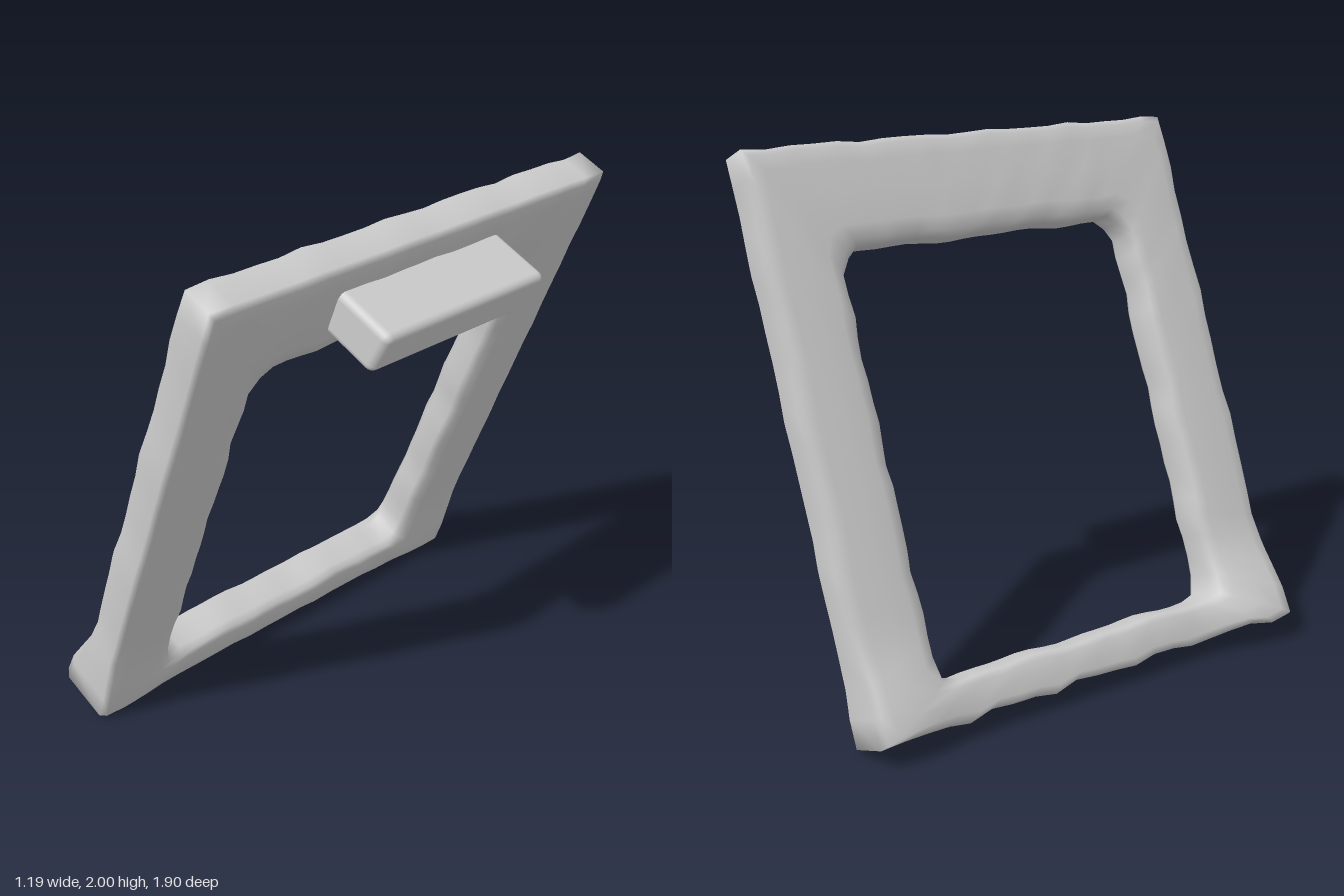
import * as THREE from 'three';
import { RoundedBoxGeometry } from 'three/addons/geometries/RoundedBoxGeometry.js';

const TILT = 0.392;
const mat = new THREE.MeshStandardMaterial({ color: 0xcccccc, side: THREE.DoubleSide });
const mix = THREE.MathUtils.lerp;
const wave = (a, b) => Math.sin(a * 17 + b * 11) * 0.6 + Math.sin(a * 31 - b * 23) * 0.4;

// Outer and inner corners of the frame as [z, y], going round once
const OUTER = [[-0.945, 0], [0.94, 0], [0.95, -2.085], [-0.945, -2.085]];
const INNER = [[-0.65, -0.38], [0.645, -0.38], [0.645, -1.935], [-0.645, -1.935]];
const CHAMFER = [0.035, 0.035, 0.015, 0.015];

// Cross-section: share of the width from outer edge to inner edge, share of the thickness
const PROFILE = [[0, 0.75], [0.06, 0.95], [0.2, 1], [0.5, 1.02], [0.8, 1], [0.94, 0.88], [1, 0.55],
  [1, -0.55], [0.94, -0.88], [0.8, -1], [0.5, -1.02], [0.2, -1], [0.06, -0.95], [0, -0.75]];

// Pairs of outer and inner points round the frame
function stations() {
  const list = [];
  const steps = 20;
  for (let c = 0; c < 4; c++) {
    const n = (c + 1) % 4;
    const [oz, oy] = OUTER[c], [pz, py] = OUTER[n];
    const [iz, iy] = INNER[c], [jz, jy] = INNER[n];
    // chamfered inner corner, moved towards the outer corner's opposite
    list.push([[oz, oy], [iz - Math.sign(iz) * CHAMFER[c], iy + (c < 2 ? -1 : 1) * CHAMFER[c]]]);
    for (let k = 1; k < steps; k++) {
      const t = k / steps;
      const s = mix(0.06, 0.94, (k - 1) / (steps - 2));
      const o = [mix(oz, pz, t), mix(oy, py, t)];
      const i = [mix(iz, jz, s), mix(iy, jy, s)];
      const axis = c % 2 ? 0 : 1;
      o[axis] += wave(o[0], o[1]) * (c === 2 ? 0.016 : 0.006);
      i[axis] += wave(i[1], i[0]) * 0.008;
      list.push([o, i]);
    }
  }
  return list;
}

// Thickness to the front (w > 0) and the back, flaring at the feet
function depth(w, z, y) {
  const low = THREE.MathUtils.smoothstep(-y, 1.72, 2.05);
  const foot = THREE.MathUtils.smoothstep(Math.abs(z), 0.55, 0.8);
  const lump = wave(z, y) * 0.004;
  const flare = w > 0 ? 0.012 + 0.015 * foot : 0.012 + (z > 0 ? 0.075 : 0.04) * foot;
  return w * (0.08 + lump + low * flare);
}

function frameGeometry() {
  const rings = stations(), pos = [], idx = [];
  const n = rings.length, m = PROFILE.length;
  rings.forEach(([o, i], r) => {
    PROFILE.forEach(([s, w], p) => {
      const z = mix(o[0], i[0], s), y = mix(o[1], i[1], s);
      pos.push(depth(w, z, y), y, z);
      const r2 = (r + 1) % n, p2 = (p + 1) % m;
      const a = r * m + p, b = r2 * m + p, c = r2 * m + p2, d = r * m + p2;
      idx.push(a, b, c, a, c, d);
    });
  });
  const g = new THREE.BufferGeometry();
  g.setAttribute('position', new THREE.Float32BufferAttribute(pos, 3));
  g.setIndex(idx);
  g.computeVertexNormals();
  return g;
}

// Block on the upper rail, its outer face slightly slanted
function blockGeometry() {
  const g = new RoundedBoxGeometry(0.29, 0.18, 0.78, 3, 0.03);
  const p = g.attributes.position;
  for (let i = 0; i < p.count; i++) {
    if (p.getX(i) > 0) p.setX(i, p.getX(i) + p.getY(i) * 0.14);
  }
  return g;
}

export function createModel() {
  const model = new THREE.Group();
  const leaning = new THREE.Group();
  leaning.name = 'leaningFrame';
  leaning.position.set(0.345, 1.975, 0);
  leaning.rotation.z = -TILT;

  const frame = new THREE.Mesh(frameGeometry(), mat);
  frame.name = 'frame';

  const block = new THREE.Mesh(blockGeometry(), mat);
  block.name = 'topBlock';
  block.position.set(0.165, -0.195, -0.01);

  leaning.add(frame, block);
  model.add(leaning);
  return model;
}
